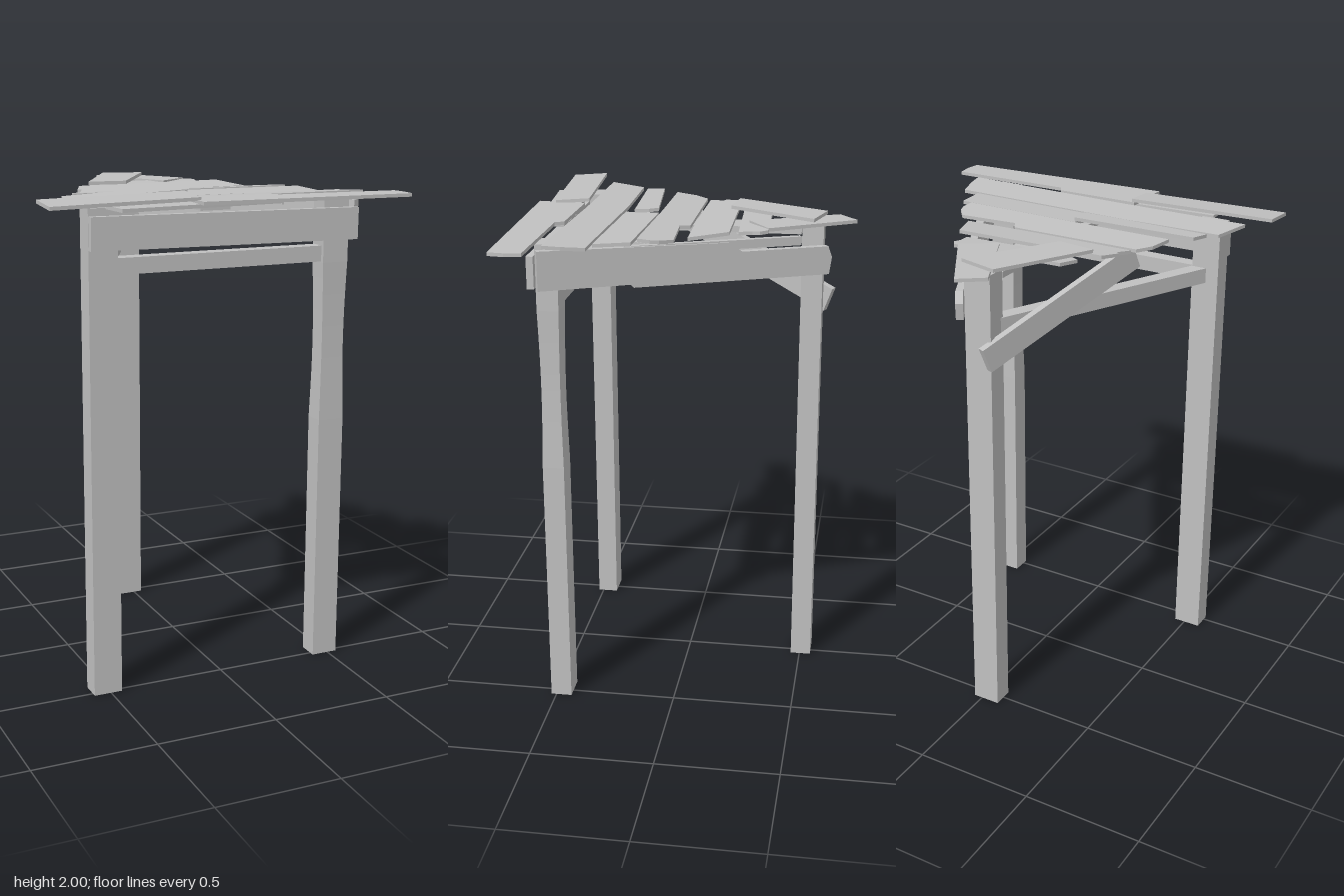
import * as THREE from 'three';

export function createModel() {
  const model = new THREE.Group();
  model.name = 'plankTable';
  const wood = new THREE.MeshStandardMaterial({ color: 0xc0c0c0 });
  wood.name = 'grey wood';

  function add(name, geometry) {
    const mesh = new THREE.Mesh(geometry, wood);
    mesh.name = name;
    model.add(mesh);
    return mesh;
  }

  // Square-cut timber running between two points
  function beam(name, from, to, width, height) {
    const a = new THREE.Vector3(...from), b = new THREE.Vector3(...to);
    const mesh = add(name, new THREE.BoxGeometry(width, height, a.distanceTo(b)));
    mesh.position.copy(a).add(b).multiplyScalar(0.5);
    mesh.lookAt(b);
    return mesh;
  }

  // Flat broken plank from an [x, z] outline; y is its underside, tilted by slopeX and slopeZ
  function plank(name, outline, y, slopeX = 0, slopeZ = 0, thickness = 0.014) {
    const shape = new THREE.Shape(outline.map(([x, z]) => new THREE.Vector2(x, -z)));
    const g = new THREE.ExtrudeGeometry(shape, { depth: thickness, bevelEnabled: false });
    g.rotateX(-Math.PI / 2);
    g.computeBoundingBox();
    const c = g.boundingBox.getCenter(new THREE.Vector3());
    const p = g.attributes.position;
    for (let i = 0; i < p.count; i++) {
      p.setY(i, p.getY(i) + y + slopeX * (p.getX(i) - c.x) + slopeZ * (p.getZ(i) - c.z));
    }
    g.computeVertexNormals();
    return add(name, g);
  }

  // Three posts; the front left one is worn thinner near the top
  function post(name, x, z, width, depth, wear) {
    const h = 1.955;
    const g = new THREE.BoxGeometry(width, h, depth, 1, 30, 1).toNonIndexed();
    g.translate(0, h / 2, 0);
    const p = g.attributes.position;
    for (let i = 0; i < p.count; i++) {
      const t = THREE.MathUtils.clamp((p.getY(i) - 1.05) / 0.65, 0, 1);
      const s = 1 - wear * Math.sin(t * Math.PI);
      p.setX(i, p.getX(i) * s);
      p.setZ(i, p.getZ(i) * s);
    }
    g.computeVertexNormals();
    add(name, g).position.set(x, 0, z);
  }
  post('frontRightPost', -0.512, 0.478, 0.118, 0.087, 0);
  post('frontLeftPost', 0.485, 0.478, 0.112, 0.087, 0.12);
  post('backPost', -0.022, -0.505, 0.116, 0.087, 0);

  // Low rails, centre support and diagonal brace
  beam('frontRail', [-0.46, 1.73, 0.475], [0.44, 1.73, 0.475], 0.06, 0.064);
  beam('sideRail', [-0.49, 1.73, 0.45], [-0.045, 1.73, -0.48], 0.06, 0.064);
  beam('centreSupport', [-0.015, 1.93, 0.45], [-0.015, 1.93, -0.46], 0.13, 0.025);
  beam('brace', [-0.07, 1.62, -0.575], [-0.36, 1.9, 0.08], 0.03, 0.105);

  // Front apron, leaning a little
  beam('frontApron', [-0.57, 1.862, 0.535], [0.57, 1.85, 0.535], 0.028, 0.128).rotateX(0);

  // Long side apron with a broken upper edge, drawn as length along z against height
  const run = new THREE.Vector3(0.54, 0, 1.08);
  const stretch = run.length() / run.z;
  const apron = new THREE.Shape([
    [0.5, 1.785], [0.5, 1.94], [-0.19, 1.92], [-0.24, 1.88], [-0.57, 1.875],
    [-0.585, 1.83], [-0.575, 1.76], [0.16, 1.77], [0.17, 1.783],
  ].map(([z, y]) => new THREE.Vector2((0.5 - z) * stretch, y)));
  const side = add('sideApron', new THREE.ExtrudeGeometry(apron, { depth: 0.03, bevelEnabled: false }));
  side.position.set(0.57, 0, 0.513);
  side.rotation.y = Math.atan2(run.z, -run.x);
  beam('innerStrip', [0.42, 1.915, 0.2], [0.1, 1.905, -0.46], 0.025, 0.035);

  // Tabletop planks, front to back
  plank('frontUnderPlank', [[-0.5, 0.52], [0.2, 0.485], [0.2, 0.6], [-0.49, 0.665]], 1.95);
  plank('frontLeftPlank', [
    [-0.15, 0.475], [0.21, 0.48], [0.23, 0.515], [0.755, 0.515],
    [0.762, 0.58], [0.755, 0.645], [-0.17, 0.675],
  ], 1.96, -0.008);
  plank('frontRightPlank', [[-0.765, 0.505], [-0.15, 0.455], [-0.145, 0.6], [-0.765, 0.655]], 1.977, 0, -0.08);
  plank('secondPlank', [
    [-0.67, 0.455], [-0.635, 0.35], [-0.62, 0.305], [-0.2, 0.295],
    [0.6, 0.31], [0.625, 0.4], [0.635, 0.47], [-0.1, 0.455],
  ], 1.953, 0, 0.07);
  plank('thirdRightPlank', [[-0.58, 0.28], [-0.56, 0.2], [-0.05, 0.14], [-0.035, 0.18], [-0.04, 0.24]], 1.962, 0.025, -0.07);
  plank('thirdLeftPlank', [[-0.08, 0.285], [0.525, 0.3], [0.505, 0.155], [-0.05, 0.14]], 1.95, 0, -0.05);
  plank('fourthPlank', [
    [-0.485, 0.13], [-0.46, 0.04], [-0.415, -0.015], [0.14, -0.02], [0.16, 0.02],
    [0.41, 0.005], [0.45, 0.055], [0.46, 0.09], [0.455, 0.14], [-0.1, 0.13],
  ], 1.951, 0, 0.08);
  plank('fifthPlank', [
    [-0.4, -0.03], [-0.37, -0.09], [-0.385, -0.1], [-0.35, -0.175],
    [0.29, -0.195], [0.35, -0.04], [0.02, -0.03],
  ], 1.95, 0, -0.09);
  plank('sixthPlank', [
    [-0.28, -0.24], [-0.25, -0.32], [0.22, -0.34], [0.24, -0.31],
    [0.23, -0.28], [0.235, -0.225], [-0.2, -0.2],
  ], 1.949, 0, -0.06);
  plank('backPlank', [[-0.11, -0.605], [-0.01, -0.68], [0.2, -0.34], [0.065, -0.25]], 1.957);
  plank('diagonalPlank', [[-0.1, -0.555], [0.07, -0.51], [-0.15, -0.15], [-0.31, -0.17]], 1.972);

  return model;
}
